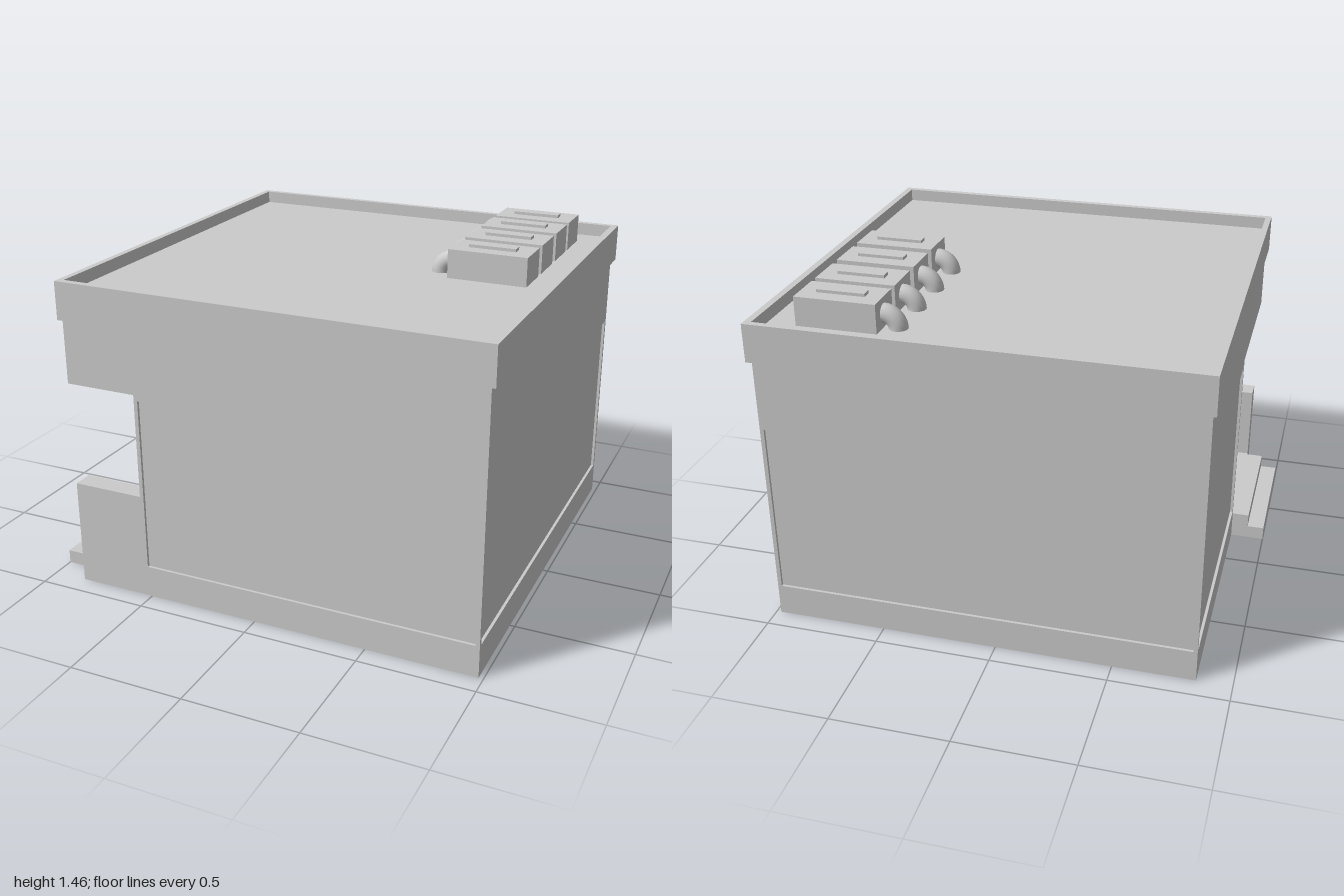
import * as THREE from 'three';

const grey = new THREE.MeshStandardMaterial({ color: 0xcccccc, flatShading: true });
const smooth = new THREE.MeshStandardMaterial({ color: 0xcccccc, side: THREE.DoubleSide });

export function createModel() {
  const model = new THREE.Group();

  const add = (name, geometry, material = grey) => {
    const mesh = new THREE.Mesh(geometry, material);
    mesh.name = name;
    model.add(mesh);
    return mesh;
  };
  // Box given by its limits on each axis
  const box = (name, x0, x1, y0, y1, z0, z1) =>
    add(name, new THREE.BoxGeometry(x1 - x0, y1 - y0, z1 - z0))
      .position.set((x0 + x1) / 2, (y0 + y1) / 2, (z0 + z1) / 2);
  // Floor plan of [x, z] corners raised from y0 to y1
  const plan = (name, corners, y0, y1, hole) => {
    const points = list => list.map(([x, z]) => new THREE.Vector2(x, -z));
    const shape = new THREE.Shape(points(corners));
    if (hole) shape.holes.push(new THREE.Path(points(hole)));
    const geometry = new THREE.ExtrudeGeometry(shape, { depth: y1 - y0, bevelEnabled: false });
    add(name, geometry.rotateX(-Math.PI / 2)).position.y = y0;
  };
  const rect = (x0, x1, z0, z1) => [[x0, z0], [x0, z1], [x1, z1], [x1, z0]];

  const L = -0.85, R = 0.98, B = -0.91, F = 0.91;   // outer walls
  const PX = -0.53, PZ = 0.21;                      // porch inner corner
  const inset = 0.012;                              // depth of wall panels
  // L-shaped plan around the corner porch, with outer walls moved in by d
  const lPlan = d => [
    [L + d, B + d], [L + d, PZ], [PX, PZ], [PX, F - d], [R - d, F - d], [R - d, B + d]
  ];

  // Walls: plinth, recessed panels, upper band and storey over the porch
  plan('plinth', lPlan(0), 0, 0.14);
  plan('recessedWallPanels', lPlan(inset), 0.14, 0.905);
  plan('upperBand', lPlan(0), 0.905, 0.93);
  box('upperWall', L, R, 0.93, 1.21, B, F);

  // Slim posts framing the panels
  const p = 0.017;
  for (const [x, z, sx, sz] of [
    [R, F, -1, -1], [R, B, -1, 1], [L, B, 1, 1], [L, PZ, 1, -1], [PX, F, 1, -1]
  ]) {
    const x2 = x + sx * p, z2 = z + sz * p;
    box('cornerPost', Math.min(x, x2), Math.max(x, x2), 0.14, 0.905, Math.min(z, z2), Math.max(z, z2));
  }

  // Porch with floor, low front wall, door and two steps
  box('porchFloor', L, PX, 0, 0.12, PZ, F);
  box('porchLowWall', L, PX, 0.12, 0.47, 0.82, F);
  box('door', PX - 0.01, PX, 0.12, 0.91, 0.3, 0.73);
  box('upperStep', -0.925, L, 0, 0.12, PZ, 0.81);
  box('lowerStep', -1, -0.925, 0, 0.06, PZ, 0.81);

  // Flat roof inside a parapet
  plan('parapet', rect(-0.865, 1, -0.925, 0.925), 1.21, 1.375, rect(-0.838, 0.97, -0.897, 0.895));
  box('roofDeck', -0.84, 0.972, 1.21, 1.32, -0.899, 0.897);

  // Rooftop units, each with a top vent and a curved duct
  for (const z of [-0.683, -0.473, -0.253, -0.033]) {
    box('roofUnit', 0.5, 0.845, 1.32, 1.445, z - 0.088, z + 0.088);
    box('unitVent', 0.57, 0.775, 1.445, 1.458, z - 0.022, z + 0.022);
    const duct = add('duct', new THREE.TorusGeometry(0.06, 0.04, 16, 12, Math.PI / 2), smooth);
    duct.rotation.z = Math.PI / 2;
    duct.position.set(0.5, 1.32, z - 0.005);
  }

  return model;
}
